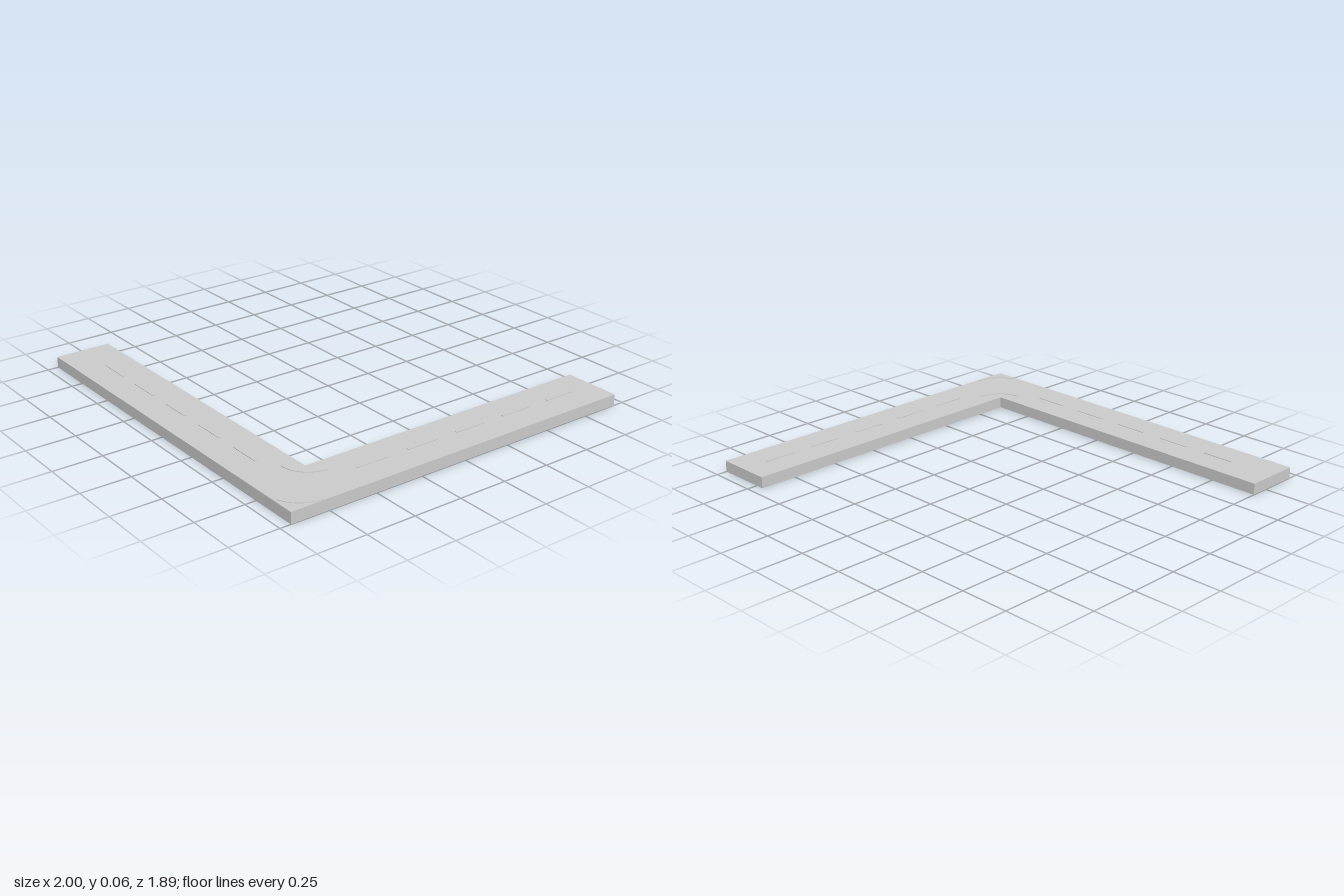
import * as THREE from 'three';

const TOP = 0.057;       // road surface height
const LIFT = 0.003;      // thickness of painted markings
const WIDTH = 0.012;     // width of painted lines
const material = new THREE.MeshStandardMaterial({ color: 0xcccccc });

// Extrudes a plan drawn in (x, -z) upwards from height y
function slab(name, shape, y, height) {
  const geometry = new THREE.ExtrudeGeometry(shape, { depth: height, bevelEnabled: false, curveSegments: 12 });
  geometry.rotateX(-Math.PI / 2);
  const mesh = new THREE.Mesh(geometry, material);
  mesh.name = name;
  mesh.position.y = y;
  return mesh;
}

// Straight painted dash
function dash(name, x, z, sx, sz) {
  const mesh = new THREE.Mesh(new THREE.BoxGeometry(sx, LIFT, sz), material);
  mesh.name = name;
  mesh.position.set(x, TOP + LIFT / 2, z);
  return mesh;
}

// Curved painted line, bulging towards the outer corner (+x, +z)
function arcLine(name, x, z, radius, from, to) {
  const shape = new THREE.Shape();
  shape.absarc(x, -z, radius + WIDTH / 2, -from, -to, true);
  shape.absarc(x, -z, radius - WIDTH / 2, -to, -from, false);
  return slab(name, shape, TOP, LIFT);
}

export function createModel() {
  const model = new THREE.Group();
  model.name = 'cornerRoad';

  // L-shaped road bed
  const plan = [[-1, 0.945], [1, 0.945], [1, -0.945], [0.706, -0.945], [0.706, 0.657], [-1, 0.657]];
  const bed = new THREE.Shape(plan.map(([x, z]) => new THREE.Vector2(x, -z)));
  model.add(slab('roadBed', bed, 0, TOP));

  // Centre dashes along both arms
  const length = 0.167, period = 0.283;
  for (let i = 0; i < 5; i++) {
    model.add(dash('sideArmDash', 0.459 - i * period, 0.801, length, WIDTH));
    model.add(dash('backArmDash', 0.853, 0.409 - i * period, WIDTH, length));
  }

  // Curved lines at the bend
  model.add(arcLine('innerBendLine', 0.65, 0.6, 0.138, 0, Math.PI / 2));
  model.add(arcLine('outerBendLine', 0.83, 0.775, 0.16, 0, Math.PI * 0.4));

  return model;
}
